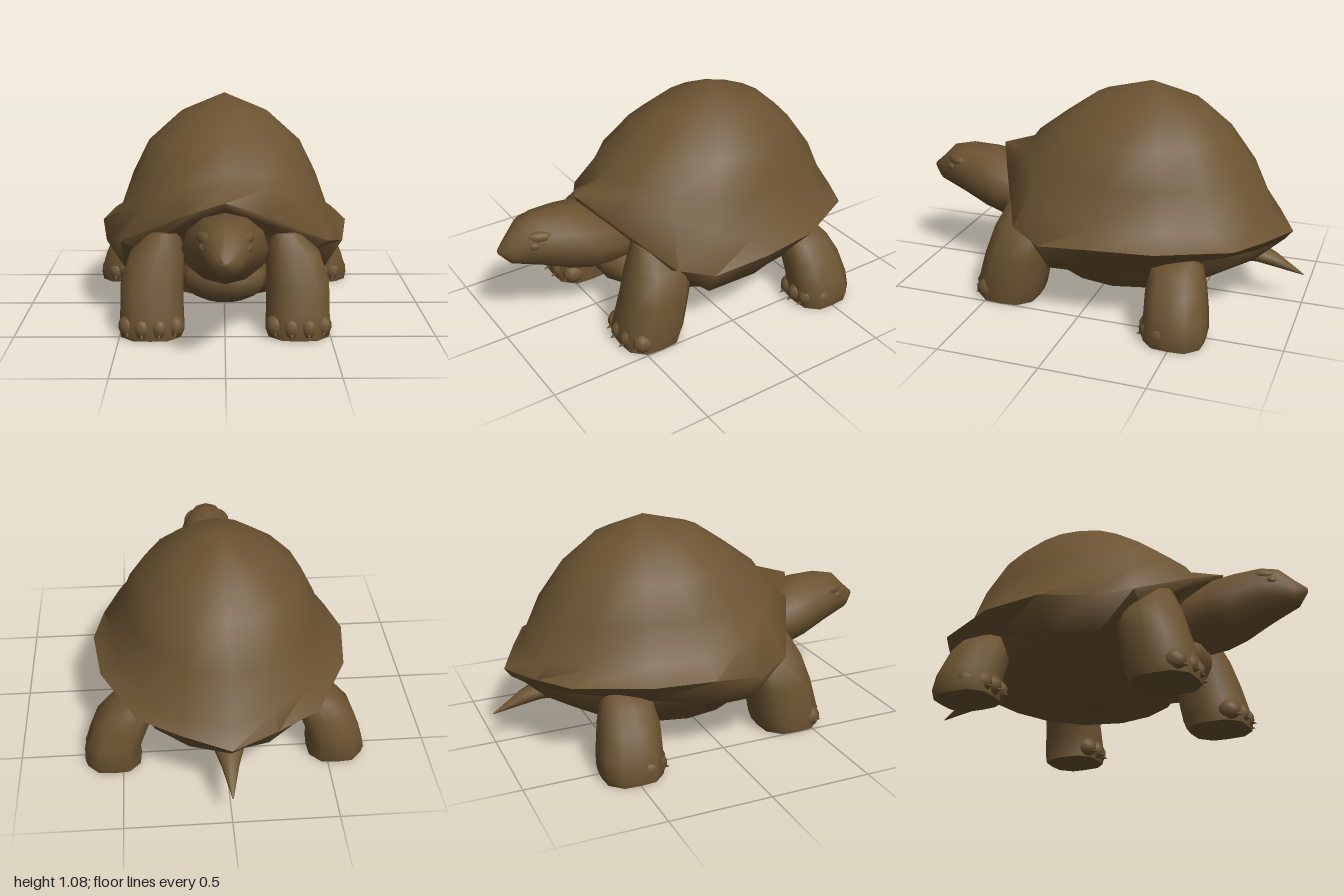
import * as THREE from 'three';
import { toCreasedNormals } from 'three/addons/utils/BufferGeometryUtils.js';

const brown = new THREE.MeshStandardMaterial({ color: 0x6b5331 });
brown.name = 'earth brown';

function mesh(name, geometry, parent) {
  const m = new THREE.Mesh(geometry, brown);
  m.name = name;
  parent.add(m);
  return m;
}

// Closed skin over equal-length rings of [x, y, z], with a fan to a point at each end
function loft(rings, start, end, crease = 0.9) {
  const n = rings[0].length, index = [];
  const pts = [...rings.flat(), start, end];
  const s = pts.length - 2, e = s + 1, last = (rings.length - 1) * n;
  for (let j = 0; j < n; j++) {
    const k = (j + 1) % n;
    index.push(s, k, j, e, last + j, last + k);
    for (let i = 0; i < rings.length - 1; i++) {
      const a = i * n + j, b = i * n + k;
      index.push(a, b, a + n, b, b + n, a + n);
    }
  }
  // Turn the faces outwards if the enclosed volume comes out negative
  const v = pts.map((p) => new THREE.Vector3(...p));
  let volume = 0;
  for (let i = 0; i < index.length; i += 3) {
    volume += v[index[i]].dot(v[index[i + 1]].clone().cross(v[index[i + 2]]));
  }
  if (volume < 0) index.reverse();
  const g = new THREE.BufferGeometry();
  g.setAttribute('position', new THREE.Float32BufferAttribute(pts.flat(), 3));
  g.setIndex(index);
  return toCreasedNormals(g, crease);
}

// Mirror a half outline (front to back on the left) into a full ring
const mirrorRing = (half) =>
  [...half, ...half.slice(1, -1).reverse().map(([x, y, z]) => [-x, y, z])];

// Oval ring: front z and y, side x, y and z, back z and y
function ovalRing(fz, fy, sx, sy, sz, bz, by) {
  const half = [];
  for (let i = 0; i <= 8; i++) {
    const a = (i / 8) * Math.PI, c = Math.cos(a);
    const endY = c > 0 ? fy : by, reach = c > 0 ? fz - sz : sz - bz;
    half.push([i % 8 ? sx * Math.sin(a) : 0, sy + (endY - sy) * c * c, sz + reach * c]);
  }
  return mirrorRing(half);
}

// Elliptical ring in the plane given by its two half axes
function ellipse(place, ra, rb, sides = 12) {
  return Array.from({ length: sides }, (_, i) => {
    const a = (i / sides) * Math.PI * 2;
    return place(Math.cos(a) * ra, Math.sin(a) * rb);
  });
}

// Skin along z from sections [z, centre y, half width, half height]
function loftZ(sections) {
  const rings = sections.map(([z, cy, w, h]) => ellipse((a, b) => [a, cy + b, z], w, h));
  const f = sections[0], l = sections[sections.length - 1];
  return loft(rings, [0, f[1], f[0]], [0, l[1], l[0]]);
}

function blob(name, parent, [x, y, z], [a, b, c]) {
  const m = mesh(name, new THREE.SphereGeometry(1, 10, 7), parent);
  m.position.set(x, y, z);
  m.scale.set(a, b, c);
  return m;
}

// Leg from sections [y, centre x, centre z, half x, half z], with clawed toes
function leg(name, side, sections, toes, parent) {
  const g = new THREE.Group();
  g.name = name;
  parent.add(g);
  const rings = sections.map(([y, cx, cz, rx, rz]) =>
    ellipse((a, b) => {
      // Slightly squared footprint
      const q = 1 + 0.24 * Math.abs((a / rx) * (b / rz));
      return [side * (cx + a * q), y, cz + b * q];
    }, rx, rz));
  const f = sections[0], l = sections[sections.length - 1];
  mesh('limb', loft(rings, [side * f[1], f[0], f[2]], [side * l[1], l[0] + 0.02, l[2]]), g);
  for (const [x, z] of toes) {
    blob('toe', g, [side * x, 0.06, z], [0.045, 0.055, 0.06]);
    const claw = mesh('claw', new THREE.ConeGeometry(0.034, 0.09, 6), g);
    claw.position.set(side * x, 0.04, z + 0.03);
    claw.rotation.x = 1.85;
  }
}

export function createModel() {
  const model = new THREE.Group();
  model.name = 'tortoise';

  // Flared edge of the shell and the lower rim beneath it
  const flare = mirrorRing([
    [0, 0.675, 0.59], [0.17, 0.6, 0.505], [0.5, 0.43, 0.33], [0.585, 0.39, 0.17],
    [0.63, 0.43, -0.1], [0.59, 0.43, -0.4], [0.42, 0.42, -0.73], [0.22, 0.4, -0.835], [0, 0.385, -0.935],
  ]);
  const rim = mirrorRing([
    [0, 0.645, 0.58], [0.17, 0.56, 0.49], [0.41, 0.38, 0.32], [0.5, 0.245, 0.15],
    [0.53, 0.27, -0.1], [0.5, 0.33, -0.38], [0.36, 0.36, -0.68], [0.2, 0.35, -0.8], [0, 0.34, -0.9],
  ]);

  // Domed shell
  mesh('shell', loft([
    ovalRing(0.07, 1.0, 0.225, 0.985, -0.2, -0.48, 0.965),
    ovalRing(0.23, 0.89, 0.39, 0.84, -0.17, -0.61, 0.85),
    ovalRing(0.39, 0.77, 0.47, 0.68, -0.13, -0.745, 0.67),
    ovalRing(0.42, 0.73, 0.535, 0.5, -0.1, -0.84, 0.46),
    flare, rim,
  ], [0, 1.08, -0.21], [0, 0.42, -0.1], 1.35), model);

  // Underside
  mesh('belly', loft([
    rim,
    ovalRing(0.38, 0.42, 0.48, 0.23, -0.1, -0.84, 0.3),
    ovalRing(0.3, 0.14, 0.37, 0.13, -0.13, -0.68, 0.2),
    ovalRing(0.18, 0.11, 0.2, 0.09, -0.13, -0.42, 0.11),
  ], [0, 0.42, -0.1], [0, 0.07, -0.15]), model);
  blob('chest', model, [0, 0.26, 0.33], [0.22, 0.13, 0.17]);

  // Head and neck
  const head = new THREE.Group();
  head.name = 'head';
  model.add(head);
  mesh('skullAndNeck', loftZ([
    [1.0, 0.505, 0.012, 0.012], [0.95, 0.497, 0.062, 0.065], [0.88, 0.52, 0.105, 0.112],
    [0.8, 0.515, 0.14, 0.135], [0.67, 0.482, 0.172, 0.162], [0.57, 0.46, 0.2, 0.166],
    [0.45, 0.43, 0.18, 0.15], [0.28, 0.4, 0.14, 0.13],
  ]), head);
  for (const s of [1, -1]) {
    const brow = blob('brow', head, [s * 0.085, 0.575, 0.83], [0.032, 0.03, 0.07]);
    brow.rotation.y = s * -0.45;
    const eye = blob('eye', head, [s * 0.1, 0.54, 0.86], [0.016, 0.02, 0.028]);
    eye.rotation.y = s * -0.45;
  }

  // Legs
  for (const s of [1, -1]) {
    const word = s > 0 ? 'left' : 'right';
    leg(word + 'FrontLeg', s, [
      [0.005, 0.35, 0.415, 0.15, 0.15], [0.05, 0.35, 0.41, 0.155, 0.162],
      [0.12, 0.35, 0.395, 0.152, 0.162], [0.25, 0.35, 0.365, 0.15, 0.155],
      [0.38, 0.325, 0.33, 0.13, 0.15], [0.49, 0.28, 0.33, 0.075, 0.1],
    ], [[0.235, 0.5], [0.31, 0.525], [0.39, 0.525], [0.46, 0.495]], model);
    leg(word + 'RearLeg', s, [
      [0.005, 0.545, -0.5, 0.135, 0.14], [0.05, 0.55, -0.5, 0.138, 0.15],
      [0.13, 0.535, -0.5, 0.13, 0.145], [0.24, 0.49, -0.485, 0.13, 0.135],
      [0.32, 0.44, -0.475, 0.11, 0.115], [0.37, 0.39, -0.48, 0.07, 0.07],
    ], [[0.47, -0.395], [0.54, -0.385], [0.6, -0.4], [0.64, -0.45]], model);
  }

  // Tail
  mesh('tail', loftZ([
    [-0.66, 0.26, 0.09, 0.06], [-0.77, 0.25, 0.07, 0.045],
    [-0.86, 0.22, 0.04, 0.035], [-1.0, 0.16, 0.003, 0.003],
  ]), model);

  return model;
}
